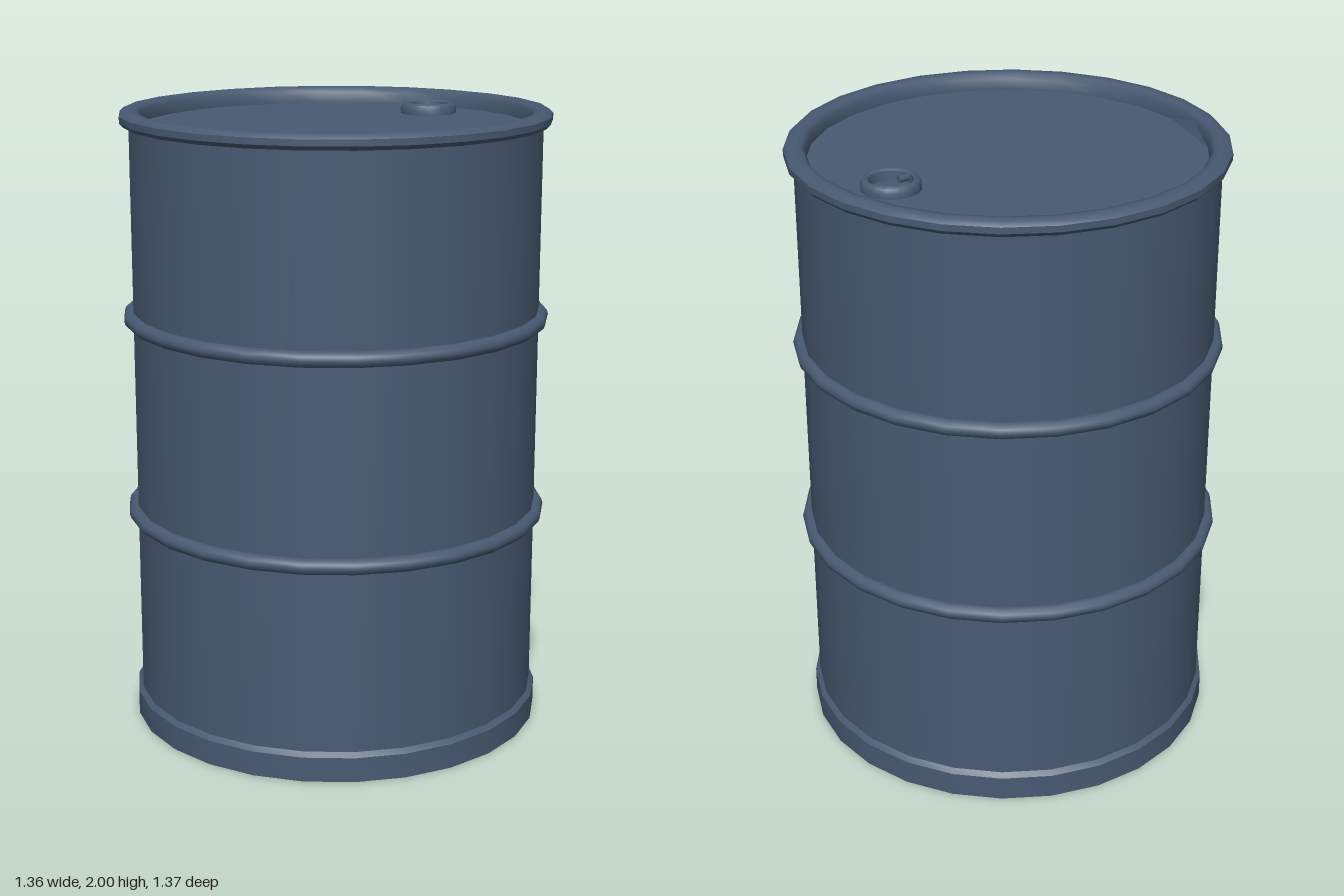
import * as THREE from 'three';
import { toCreasedNormals } from 'three/addons/utils/BufferGeometryUtils.js';

const SIDES = 26;
const LID_Y = 1.945;
const LID_R = 0.618;

export function createModel() {
  const model = new THREE.Group();
  model.name = 'steelDrum';
  const paint = new THREE.MeshStandardMaterial({ color: 0x485a72 });
  paint.name = 'blueGreyPaint';

  const add = (name, geometry, parent = model) => {
    const mesh = new THREE.Mesh(geometry, paint);
    mesh.name = name;
    parent.add(mesh);
    return mesh;
  };
  const lathe = (profile, sides = SIDES) => toCreasedNormals(
    new THREE.LatheGeometry(profile.map(([r, y]) => new THREE.Vector2(r, y)), sides), 0.72);

  // Straight shell
  const shell = add('shell', new THREE.CylinderGeometry(0.655, 0.655, 1.9, SIDES, 1, true));
  shell.position.y = 1.02;

  // Two rolling hoops
  for (const [name, y] of [['lowerHoop', 0.7], ['upperHoop', 1.34]]) {
    const profile = [];
    for (let i = 0; i <= 12; i++) {
      const t = (i / 12) * Math.PI * 2;
      profile.push([0.658 + 0.027 * Math.cos(t), y + 0.025 * Math.sin(t)]);
    }
    add(name, lathe(profile));
  }

  // Foot band with a recessed underside
  add('footBand', lathe([
    [0.645, 0.025], [0.645, 0], [0.67, 0], [0.67, 0.08], [0.655, 0.094],
  ]));
  const bottom = add('bottom', new THREE.CircleGeometry(0.646, SIDES, Math.PI / 2));
  bottom.rotation.x = Math.PI / 2;
  bottom.position.y = 0.025;

  // Rolled rim and its inner wall down to the lid
  add('rim', lathe([
    [0.65, 1.95], [0.672, 1.952], [0.684, 1.965], [0.684, 1.985], [0.672, 1.997],
    [0.65, 2], [0.63, 1.996], [0.619, 1.982], [LID_R, LID_Y],
  ]));
  const lid = add('lid', new THREE.CircleGeometry(LID_R, SIDES, Math.PI / 2));
  lid.rotation.x = -Math.PI / 2;
  lid.position.y = LID_Y;

  // Small sloping facet where the lid meets the rim
  const rimPoint = (k, y) => {
    const a = (k / SIDES) * Math.PI * 2;
    return new THREE.Vector3(LID_R * Math.sin(a), y, LID_R * Math.cos(a));
  };
  const facet = new THREE.BufferGeometry().setFromPoints([
    rimPoint(17, LID_Y + 0.001), rimPoint(18, 1.982), rimPoint(19, LID_Y + 0.001),
  ]);
  facet.computeVertexNormals();
  add('rimFacet', facet);

  // Filler collar with a small lug inside
  const filler = new THREE.Group();
  filler.name = 'filler';
  filler.position.set(0.447, LID_Y, 0);
  model.add(filler);
  add('fillerCollar', lathe([
    [0.091, -0.002], [0.092, 0.016], [0.086, 0.03], [0.076, 0.035], [0.068, 0.03], [0.065, 0],
  ], 16), filler);
  const lug = add('fillerLug', new THREE.CylinderGeometry(0.011, 0.011, 0.04, 8), filler);
  lug.rotation.z = Math.PI / 2;
  lug.position.set(-0.053, 0.019, 0.005);

  return model;
}
